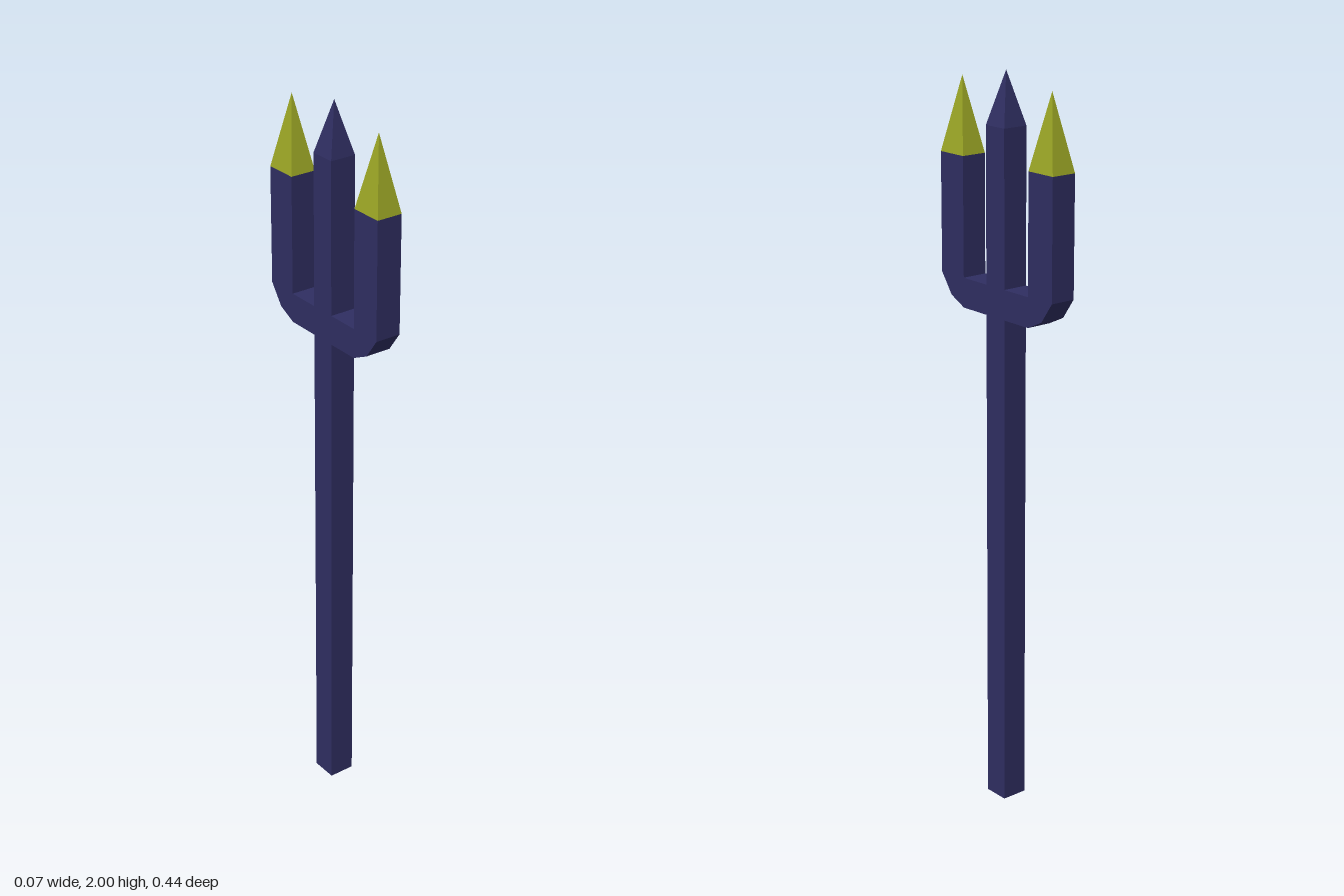
import * as THREE from 'three';

const HALF = 0.036; // half thickness of every bar

export function createModel() {
  const model = new THREE.Group();
  model.name = 'trident';
  const navy = new THREE.MeshStandardMaterial({ name: 'navy', color: 0x2f2e61, flatShading: true });
  const olive = new THREE.MeshStandardMaterial({ name: 'olive', color: 0x9aa525, flatShading: true });

  function add(parent, name, geometry, material, y = 0, z = 0) {
    const mesh = new THREE.Mesh(geometry, material);
    mesh.name = name;
    mesh.position.set(0, y, z);
    parent.add(mesh);
    return mesh;
  }

  // four-sided point standing on y = 0
  function point(depth, height) {
    return new THREE.ConeGeometry(Math.SQRT1_2, height, 4, 1, true)
      .rotateY(Math.PI / 4)
      .scale(HALF * 2, 1, depth)
      .translate(0, height / 2, 0);
  }

  // shaft and middle point
  add(model, 'shaft', new THREE.BoxGeometry(HALF * 2, 1.862, HALF * 2).translate(0, 0.931, 0), navy);
  add(model, 'middlePoint', point(HALF * 2, 0.138), navy, 1.862);

  // side prong outline: crossbar, chamfered elbow and upright, drawn in z and y
  const outline = new THREE.Shape([
    [HALF, 1.372], [0.129, 1.372], [0.181, 1.397], [0.22, 1.452],
    [0.22, 1.77], [0.129, 1.77], [0.129, 1.452], [HALF, 1.452],
  ].map(([z, y]) => new THREE.Vector2(z, y)));
  const prong = new THREE.ExtrudeGeometry(outline, { depth: HALF * 2, bevelEnabled: false })
    .translate(0, 0, -HALF)
    .rotateY(-Math.PI / 2);
  const sidePoint = point(0.091, 0.198);

  // front and back prongs, turned half a circle apart
  for (const [name, turn] of [['frontProng', 0], ['backProng', Math.PI]]) {
    const side = new THREE.Group();
    side.name = name;
    side.rotation.y = turn;
    add(side, 'prongArm', prong, navy);
    add(side, 'prongPoint', sidePoint, olive, 1.77, 0.1745);
    model.add(side);
  }
  return model;
}
